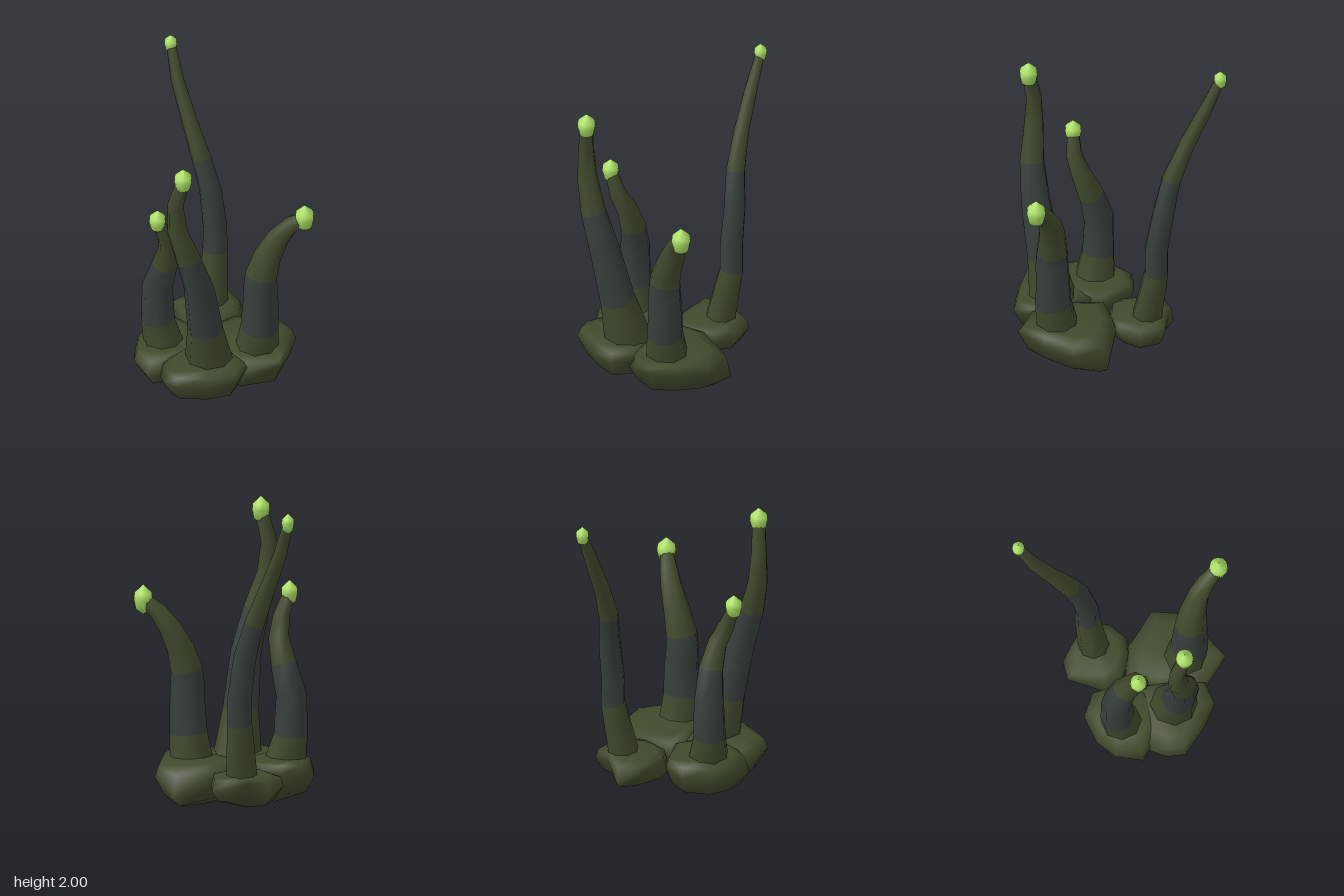
import * as THREE from 'three';

const olive = new THREE.MeshStandardMaterial({ color: 0x3f4a2c });
olive.name = 'olive';
const slate = new THREE.MeshStandardMaterial({ color: 0x363f3c });
slate.name = 'slate';
const lime = new THREE.MeshStandardMaterial({ color: 0xabdf65 });
lime.name = 'lime';

// Skins a stack of equal-length rings; matOf(i) picks the material of each span
function loft(rings, matOf = () => 0) {
  const n = rings[0].length;
  const geo = new THREE.BufferGeometry();
  geo.setAttribute('position', new THREE.Float32BufferAttribute(rings.flat().flatMap((p) => p.toArray()), 3));
  const index = [];
  for (let i = 0; i < rings.length - 1; i++) {
    geo.addGroup(index.length, n * 6, matOf(i));
    for (let j = 0; j < n; j++) {
      const a = i * n + j, b = i * n + (j + 1) % n;
      index.push(a, a + n, b, b, a + n, b + n);
    }
  }
  geo.setIndex(index);
  geo.computeVertexNormals();
  return geo;
}

// Bud profile: narrow foot, wide shoulder, pointed top
const budProfile = [[0, -1], [0.78, -0.65], [1, 0], [0.95, 0.42], [0, 1]].map((p) => new THREE.Vector2(...p));

// Stalk from [x, y, z, radius] stations; spans from band[0] up to band[1] are slate
function makeStalk({ path, band, tip }) {
  const group = new THREE.Group();
  const pts = path.map(([x, y, z]) => new THREE.Vector3(x, y, z));
  const up = new THREE.Vector3(0, 1, 0);
  const sides = 8;
  const rings = pts.map((p, i) => {
    const dir = pts[Math.min(i + 1, pts.length - 1)].clone().sub(pts[Math.max(i - 1, 0)]).normalize();
    if (i === 0) dir.copy(up);
    const q = new THREE.Quaternion().setFromUnitVectors(up, dir);
    return Array.from({ length: sides }, (_, j) => {
      const a = (j / sides) * Math.PI * 2;
      return new THREE.Vector3(Math.cos(a), 0, Math.sin(a)).multiplyScalar(path[i][3]).applyQuaternion(q).add(p);
    });
  });
  const stem = new THREE.Mesh(loft(rings, (i) => (i >= band[0] && i < band[1] ? 1 : 0)), [olive, slate]);
  stem.name = 'stem';

  const bud = new THREE.Mesh(new THREE.LatheGeometry(budProfile, 12), lime);
  bud.name = 'bud';
  bud.scale.set(tip[0], tip[1], tip[0]);
  bud.position.copy(pts[pts.length - 1]);
  group.add(stem, bud);
  return group;
}

// Chunky rock from a rim of [x, y, z] points, a lowest point and a top height
function makeRock({ rim, bottom, top }) {
  const low = new THREE.Vector3(...bottom);
  const pts = rim.map((p) => new THREE.Vector3(...p));
  const angle = (p) => Math.atan2(p.z - low.z, p.x - low.x);
  pts.sort((a, b) => angle(a) - angle(b));
  const ring = (scale, height) => pts.map((p) => {
    const v = low.clone().lerp(p, scale);
    v.y = height(p);
    return v;
  });
  return new THREE.Mesh(loft([
    ring(0, () => low.y),
    ring(0.8, (p) => THREE.MathUtils.lerp(low.y, p.y, 0.42)),
    pts,
    ring(0.92, (p) => THREE.MathUtils.lerp(p.y, top, 0.7)),
    ring(0.68, () => top - 0.01),
    ring(0, () => top),
  ]), olive);
}

const stalks = {
  tallStalk: {
    band: [1, 4], tip: [0.04, 0.065],
    path: [[-0.16, 0.22, -0.24, 0.1], [-0.205, 0.6, -0.3, 0.077], [-0.205, 0.78, -0.3, 0.075],
      [-0.25, 1.03, -0.3, 0.07], [-0.31, 1.25, -0.275, 0.062], [-0.415, 1.48, -0.265, 0.05],
      [-0.535, 1.71, -0.27, 0.042], [-0.63, 1.935, -0.29, 0.03]],
  },
  shortStalk: {
    band: [1, 3], tip: [0.052, 0.082],
    path: [[-0.01, 0.26, 0.26, 0.13], [-0.04, 0.43, 0.285, 0.105], [-0.045, 0.68, 0.285, 0.096],
      [0.01, 0.87, 0.27, 0.08], [0.07, 1.03, 0.285, 0.064], [0.1, 1.15, 0.335, 0.052], [0.085, 1.29, 0.39, 0.038]],
  },
  thickStalk: {
    band: [1, 3], tip: [0.056, 0.088],
    path: [[0.31, 0.27, 0.16, 0.15], [0.34, 0.54, 0.215, 0.112], [0.37, 0.9, 0.29, 0.095],
      [0.365, 1.15, 0.37, 0.08], [0.33, 1.37, 0.43, 0.064], [0.325, 1.57, 0.44, 0.05], [0.37, 1.767, 0.415, 0.042]],
  },
  bentStalk: {
    band: [1, 4], tip: [0.059, 0.095],
    path: [[0.39, 0.26, -0.15, 0.135], [0.42, 0.43, -0.15, 0.118], [0.425, 0.62, -0.155, 0.11],
      [0.43, 0.74, -0.15, 0.106], [0.43, 0.83, -0.155, 0.1], [0.445, 0.97, -0.195, 0.085], [0.48, 1.1, -0.25, 0.07],
      [0.535, 1.2, -0.3, 0.057], [0.61, 1.275, -0.355, 0.042]],
  },
};

const rocks = {
  smallRock: {
    bottom: [-0.14, 0.06, -0.2], top: 0.28,
    rim: [[-0.36, 0.13, -0.19], [-0.335, 0.2, -0.05], [-0.1, 0.14, 0.02], [0, 0.18, -0.03], [0.06, 0.18, -0.2],
      [0.04, 0.2, -0.31], [-0.06, 0.17, -0.4], [-0.21, 0.2, -0.42], [-0.28, 0.24, -0.3]],
  },
  largeRock: {
    bottom: [0.3, 0, -0.14], top: 0.3,
    rim: [[0.19, 0.09, -0.49], [0.4, 0.2, -0.455], [0.54, 0.22, -0.29], [0.65, 0.27, -0.14], [0.49, 0.18, 0.065],
      [0.2, 0.18, 0.05], [0.02, 0.18, -0.02], [0.04, 0.2, -0.25]],
  },
  frontRock: {
    bottom: [0.01, 0.01, 0.19], top: 0.3,
    rim: [[-0.245, 0.2, 0.2], [-0.19, 0.23, 0.06], [0.05, 0.22, -0.01], [0.19, 0.22, 0.1], [0.22, 0.22, 0.33],
      [0.11, 0.16, 0.485], [-0.06, 0.18, 0.46], [-0.17, 0.17, 0.36]],
  },
  sideRock: {
    bottom: [0.29, 0.015, 0.19], top: 0.3,
    rim: [[0.08, 0.18, 0.03], [0.28, 0.2, 0], [0.51, 0.25, 0.02], [0.57, 0.22, 0.15], [0.49, 0.2, 0.31],
      [0.37, 0.22, 0.48], [0.26, 0.2, 0.48], [0.13, 0.15, 0.41]],
  },
};

export function createModel() {
  const model = new THREE.Group();
  model.name = 'stalkCluster';
  const add = (specs, make) => {
    for (const [name, spec] of Object.entries(specs)) {
      const part = make(spec);
      part.name = name;
      model.add(part);
    }
  };
  add(rocks, makeRock);
  add(stalks, makeStalk);
  return model;
}
